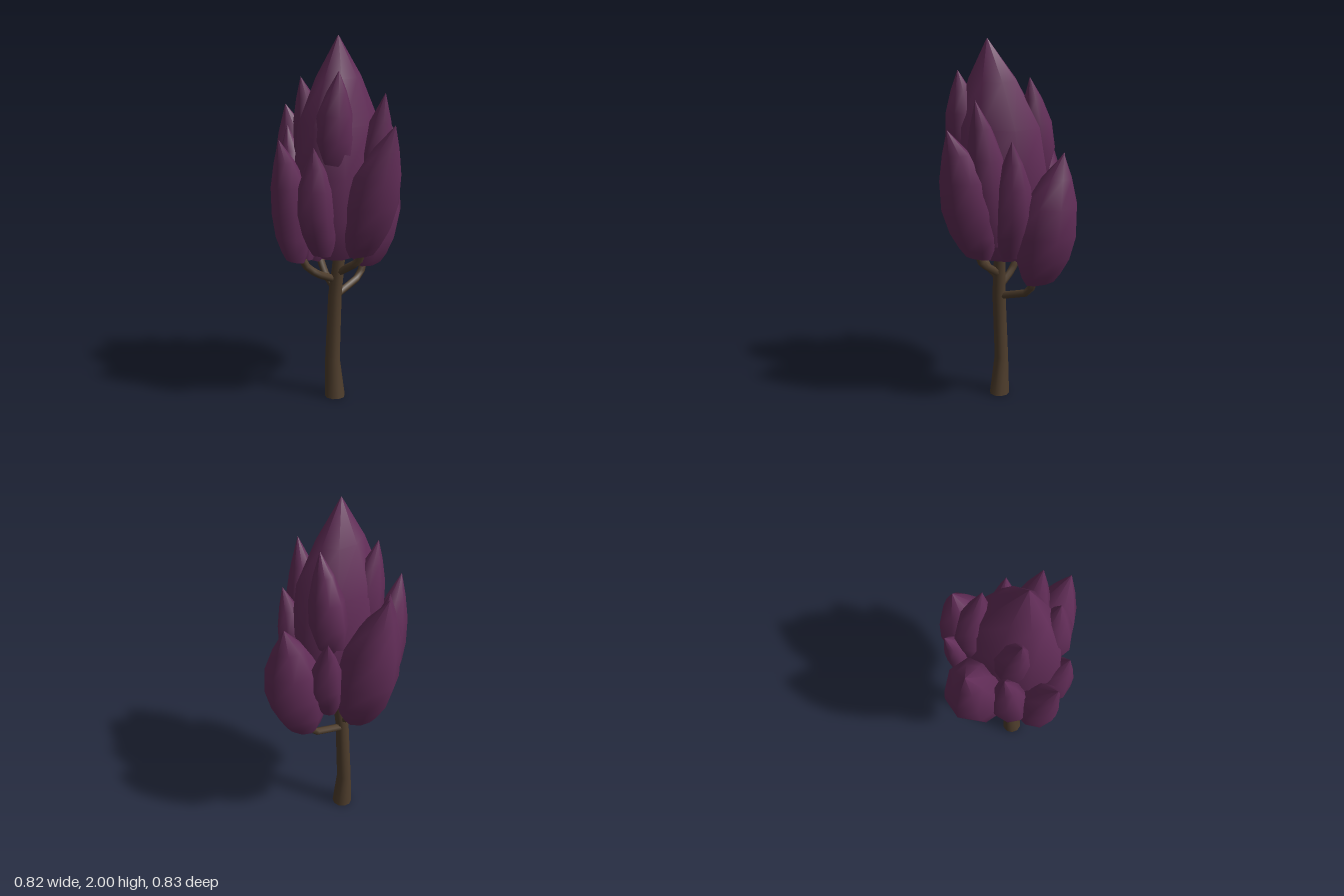
import * as THREE from 'three';

// Smooth skin over rings [x, y, z, rx, rz, slopeX, slopeZ], with a flat cap underneath
function loft(rings, sides, turn = 0) {
  const pos = [], index = [];
  const addRing = ([x, y, z, rx, rz, slopeX = 0, slopeZ = 0]) => {
    for (let i = 0; i < sides; i++) {
      const a = turn + (i / sides) * Math.PI * 2;
      const dx = rx * Math.cos(a), dz = rz * Math.sin(a);
      pos.push(x + dx, y + slopeX * dx + slopeZ * dz, z + dz);
    }
  };
  rings.forEach(addRing);
  for (let r = 0; r < rings.length - 1; r++) {
    for (let i = 0; i < sides; i++) {
      const j = (i + 1) % sides;
      const a = r * sides + i, b = r * sides + j;
      index.push(a, a + sides, b, b, a + sides, b + sides);
    }
  }
  const cap = rings.length * sides;
  addRing(rings[0]);
  pos.push(rings[0][0], rings[0][1], rings[0][2]);
  for (let i = 0; i < sides; i++) index.push(cap + sides, cap + i, cap + (i + 1) % sides);
  const geo = new THREE.BufferGeometry();
  geo.setAttribute('position', new THREE.Float32BufferAttribute(pos, 3));
  geo.setIndex(index);
  geo.computeVertexNormals();
  return geo;
}

// Bud outline: height fraction, width fraction
const PROFILE = [[0, 0.47], [0.07, 0.67], [0.2, 0.9], [0.4, 1], [0.62, 0.89], [0.82, 0.5], [1, 0.006]];
const WIDEST = 0.4;

// Pointed bud: belly centre, radii, bottom height and tip.
// Its foot leans to the trunk and the foot's outer rim is a little higher.
function budGeometry({ belly: [bx, bz], r: [rx, rz], y0, tip: [tx, ty, tz], turn, lean = 0.22 }) {
  const inX = 0.02 - bx, inZ = 0.05 - bz;
  const reach = Math.hypot(inX, inZ) + 0.05;
  const fx = bx + inX * lean, fz = bz + inZ * lean;
  const rings = PROFILE.map(([t, w]) => {
    const low = t < WIDEST;
    const s = low ? t / WIDEST : ((t - WIDEST) / (1 - WIDEST)) ** 1.5;
    const x = low ? fx + (bx - fx) * s : bx + (tx - bx) * s;
    const z = low ? fz + (bz - fz) * s : bz + (tz - bz) * s;
    const tilt = low ? (-0.25 * (1 - s)) / reach : 0;
    return [x, y0 + 0.01 + (ty - y0 - 0.01) * t, z, rx * w, rz * w, inX * tilt, inZ * tilt];
  });
  return loft(rings, 8, turn);
}

const HALF = Math.PI / 8;
const BUDS = {
  crown: { belly: [0.02, 0.055], r: [0.217, 0.28], y0: 0.82, tip: [0.05, 2, 0.11] },
  // large lower buds
  backBud: { belly: [0.065, -0.245], r: [0.16, 0.165], y0: 0.72, tip: [0.05, 1.44, -0.33], lean: 0.13 },
  rightBud: { belly: [-0.235, -0.015], r: [0.168, 0.16], y0: 0.77, tip: [-0.34, 1.61, 0.01], lean: 0.26 },
  leftBud: { belly: [0.255, 0.115], r: [0.14, 0.147], y0: 0.85, tip: [0.4, 1.58, 0.15], lean: 0.3 },
  frontBud: { belly: [-0.125, 0.285], r: [0.1, 0.12], y0: 0.82, tip: [-0.125, 1.5, 0.4], lean: 0.06 },
  // smaller lower buds
  frontLeftBud: { belly: [0.02, 0.285], r: [0.1, 0.11], y0: 0.86, tip: [0.055, 1.47, 0.36], turn: HALF },
  frontRightBud: { belly: [-0.19, 0.17], r: [0.1, 0.105], y0: 0.8, tip: [-0.23, 1.53, 0.16], turn: HALF },
  backLeftBud: { belly: [0.172, -0.107], r: [0.1, 0.1], y0: 0.86, tip: [0.24, 1.52, -0.13], turn: HALF },
  backRightBud: { belly: [-0.095, -0.185], r: [0.088, 0.086], y0: 0.85, tip: [-0.16, 1.4, -0.24] },
  // upper buds hugging the crown
  upperLeftBud: { belly: [0.21, 0.025], r: [0.112, 0.112], y0: 0.92, tip: [0.29, 1.72, 0.05] },
  upperBackBud: { belly: [-0.065, -0.125], r: [0.108, 0.095], y0: 1.16, tip: [0, 1.81, -0.11] },
  upperRightBud: { belly: [-0.105, 0.115], r: [0.09, 0.11], y0: 1.17, tip: [-0.125, 1.79, 0.19] },
  upperFrontBud: { belly: [0.09, 0.225], r: [0.103, 0.107], y0: 1.25, tip: [0.13, 1.84, 0.24] },
};

const BRANCHES = {
  backBranch: [[0, 0.59, 0.06], [0.04, 0.65, -0.12], [0.05, 0.71, -0.16], [0.05, 0.8, -0.18]],
  rightBranch: [[0, 0.64, 0.07], [-0.08, 0.71, 0.04], [-0.12, 0.78, 0.02], [-0.18, 0.86, 0.01]],
  leftBranch: [[0.01, 0.72, 0.06], [0.1, 0.78, 0.08], [0.16, 0.82, 0.09], [0.2, 0.92, 0.1]],
  frontBranch: [[0, 0.69, 0.07], [-0.04, 0.74, 0.17], [-0.08, 0.79, 0.22], [-0.11, 0.88, 0.26]],
};

export function createModel() {
  const tree = new THREE.Group();
  tree.name = 'tree';
  const foliage = new THREE.MeshStandardMaterial({ color: 0x622d58 });
  foliage.name = 'purple foliage';
  const bark = new THREE.MeshStandardMaterial({ color: 0x4e3d2c });
  bark.name = 'brown bark';
  const add = (name, geo, mat) => {
    const mesh = new THREE.Mesh(geo, mat);
    mesh.name = name;
    tree.add(mesh);
  };

  // Slightly crooked trunk with a flared foot
  add('trunk', loft([
    [0.002, 0, 0.07, 0.057, 0.055], [-0.015, 0.22, 0.066, 0.042, 0.038],
    [0.004, 0.6, 0.07, 0.037, 0.037], [0.025, 0.85, 0.052, 0.032, 0.032], [0.03, 1, 0.05, 0.025, 0.025],
  ], 10), bark);

  // Bent branches
  for (const [name, pts] of Object.entries(BRANCHES)) {
    const path = new THREE.CatmullRomCurve3(pts.map((p) => new THREE.Vector3(...p)), false, 'catmullrom', 0.2);
    add(name, new THREE.TubeGeometry(path, 6, 0.021, 7), bark);
  }

  for (const [name, bud] of Object.entries(BUDS)) add(name, budGeometry(bud), foliage);
  return tree;
}
